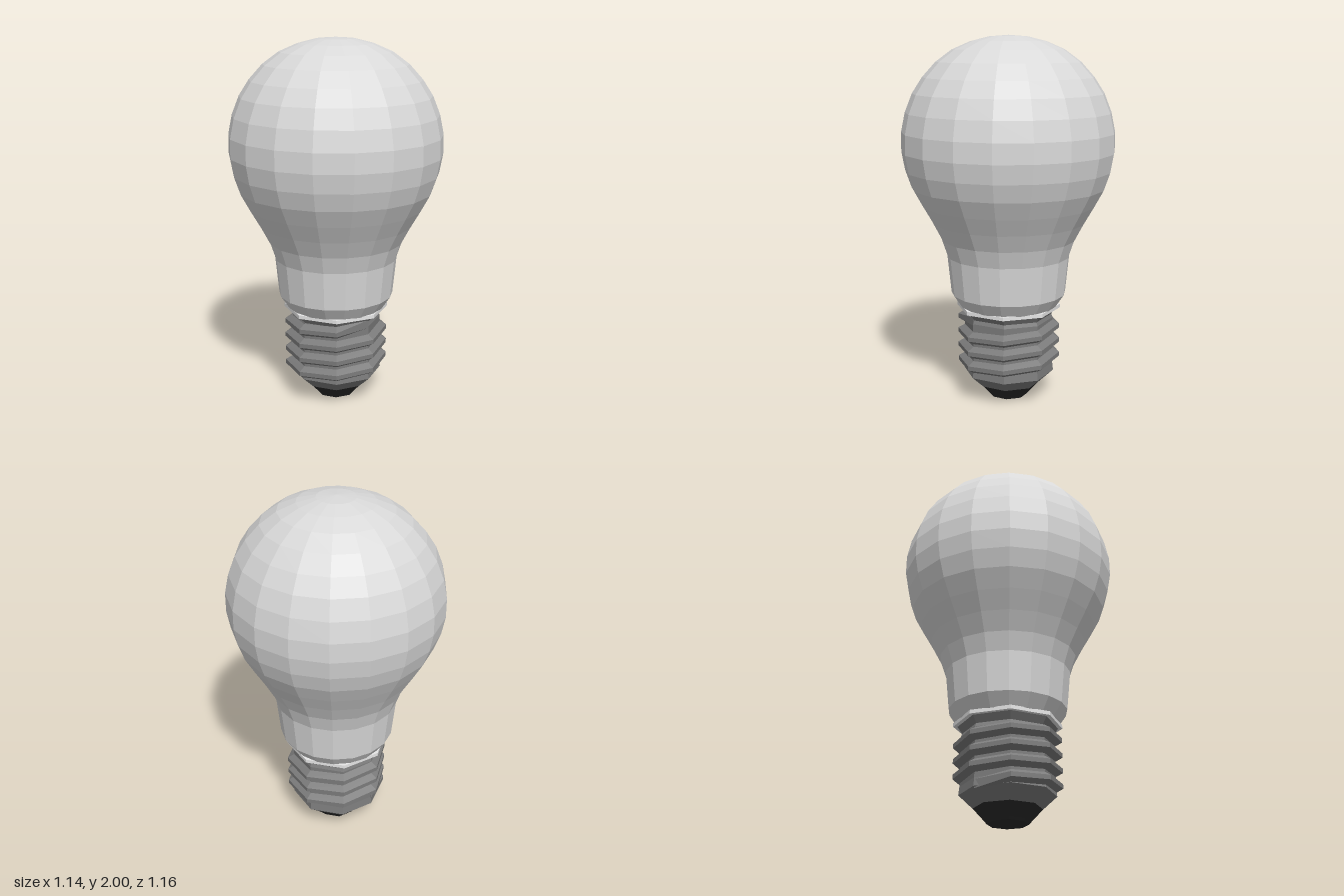
import * as THREE from 'three';

const DEG = Math.PI / 180;

// Faceted normals: every face gets its own corners
function faceted(geometry) {
  const flat = geometry.index ? geometry.toNonIndexed() : geometry;
  flat.computeVertexNormals();
  return flat;
}

function turned(profile, sides, startDegrees) {
  const points = profile.map(([r, y]) => new THREE.Vector2(r, y));
  return faceted(new THREE.LatheGeometry(points, sides, startDegrees * DEG, Math.PI * 2));
}

// Right-handed ridge with a trapezoid section, eight steps per turn
function threadGeometry() {
  const first = -3, last = 25, pitch = 0.083, core = 0.248;
  const section = [[0, -0.034], [0.037, -0.012], [0.037, 0.012], [0, 0.034]];
  const positions = [], index = [];
  for (let k = first; k <= last; k++) {
    const phi = (-9 + 45 * k) * DEG;
    const y = 0.22 + pitch * (k - 2) / 8;
    const fade = k === first || k === last ? 0 : 1;
    for (const [dr, dy] of section) {
      const r = core + dr * fade;
      positions.push(r * Math.sin(phi), y + dy, r * Math.cos(phi));
    }
  }
  for (let k = 0; k < last - first; k++) {
    for (let j = 0; j < 3; j++) {
      const a = k * 4 + j, b = a + 4;
      index.push(a, b, b + 1, a, b + 1, a + 1);
    }
  }
  const geometry = new THREE.BufferGeometry();
  geometry.setAttribute('position', new THREE.Float32BufferAttribute(positions, 3));
  geometry.setIndex(index);
  return faceted(geometry);
}

export function createModel() {
  const material = (name, color) => {
    const m = new THREE.MeshStandardMaterial({ color });
    m.name = name;
    return m;
  };
  const glass = material('frostedGlass', 0xd9d9d9);
  const metal = material('greyMetal', 0x7c7c7c);
  const black = material('blackInsulator', 0x2a2a2a);
  const pale = material('paleRim', 0xe6e6e6);

  const model = new THREE.Group();
  model.name = 'lightBulb';
  const add = (name, geometry, mat) => {
    const mesh = new THREE.Mesh(geometry, mat);
    mesh.name = name;
    model.add(mesh);
  };

  // Globe and neck, 18 sides
  add('glassBulb', turned([
    [0, 0.53], [0.27, 0.53], [0.317, 0.6], [0.338, 0.81], [0.37, 0.905],
    [0.42, 1.0], [0.475, 1.095], [0.527, 1.19], [0.56, 1.285], [0.578, 1.385],
    [0.577, 1.49], [0.555, 1.595], [0.515, 1.695], [0.46, 1.78], [0.388, 1.86],
    [0.3, 1.925], [0.203, 1.967], [0.103, 1.992], [0, 2],
  ], 18, -1), glass);

  // Pale ring between glass and cap
  add('rim', turned([
    [0, 0.513], [0.288, 0.513], [0.288, 0.533], [0, 0.533],
  ], 8, -9), pale);

  // Octagonal screw cap
  add('screwCap', turned([
    [0, 0.078], [0.18, 0.078], [0.253, 0.145], [0.248, 0.19], [0.248, 0.455],
    [0.24, 0.475], [0.265, 0.513], [0, 0.513],
  ], 8, -9), metal);
  add('screwThread', threadGeometry(), metal);

  // Tapered contact at the foot
  add('baseContact', turned([
    [0, 0], [0.108, 0], [0.118, 0.012], [0.18, 0.079], [0, 0.079],
  ], 8, -9), black);

  return model;
}
